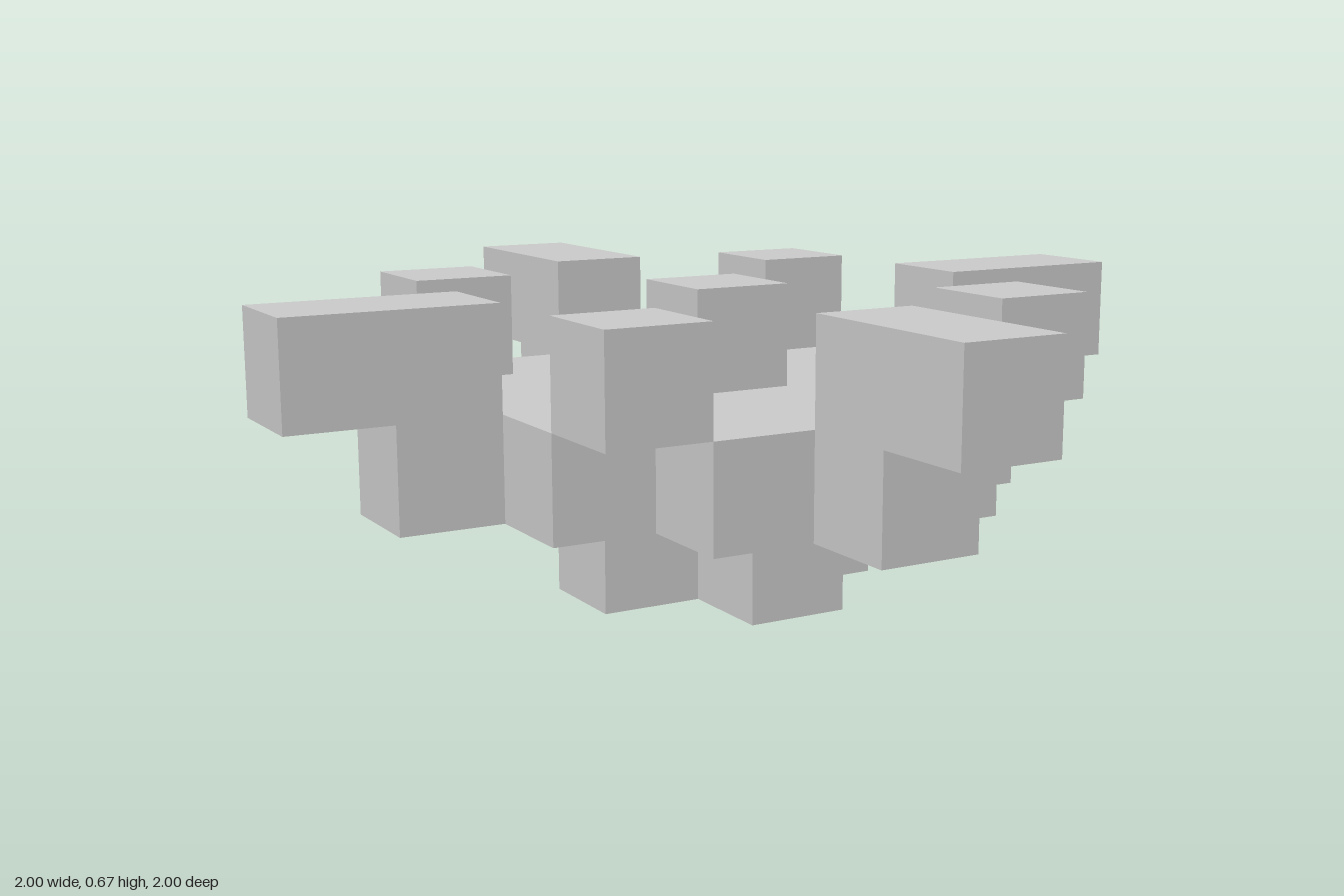
import * as THREE from 'three';

const U = 2 / 9; // edge length of one block
const material = new THREE.MeshStandardMaterial({ color: 0xcccccc, flatShading: true });

// Extrude an outline given in block units
function prism(points) {
  const shape = new THREE.Shape(points.map(([x, y]) => new THREE.Vector2(x * U, y * U)));
  return new THREE.ExtrudeGeometry(shape, { depth: U, bevelEnabled: false });
}

// Horizontal square slab, one block thick, with one block cut from each corner
function notchedSlab(half, level) {
  const a = half, b = half - 1;
  const outline = [
    [a, -b], [a, b], [b, b], [b, a], [-b, a], [-b, b],
    [-a, b], [-a, -b], [-b, -b], [-b, -a], [b, -a], [b, -b],
  ];
  return prism(outline).rotateX(-Math.PI / 2).translate(0, level * U, 0);
}

export function createModel() {
  const model = new THREE.Group();
  const add = (name, geometry) => {
    const mesh = new THREE.Mesh(geometry, material);
    mesh.name = name;
    model.add(mesh);
    return mesh;
  };

  // Cross-shaped foot and the wide plate above it
  add('foot', notchedSlab(1.5, 0));
  add('plate', notchedSlab(2.5, 1));

  // Block standing in the middle of the plate
  const block = new THREE.BoxGeometry(U, U, U);
  add('centreBlock', block).position.y = 2.5 * U;

  // Four stepped arms and four raised corner blocks
  const arm = prism([[2.5, 1], [3.5, 1], [3.5, 2], [4.5, 2], [4.5, 3], [2.5, 3]])
    .translate(0, 0, -U / 2);
  const sides = ['left', 'back', 'right', 'front'];
  const corners = ['frontLeft', 'backLeft', 'backRight', 'frontRight'];
  for (let i = 0; i < 4; i++) {
    add(sides[i] + 'Arm', arm).rotation.y = i * Math.PI / 2;
    const x = i < 2 ? 2 : -2;
    const z = i === 0 || i === 3 ? 2 : -2;
    add(corners[i] + 'Block', block).position.set(x * U, 2.5 * U, z * U);
  }
  return model;
}
